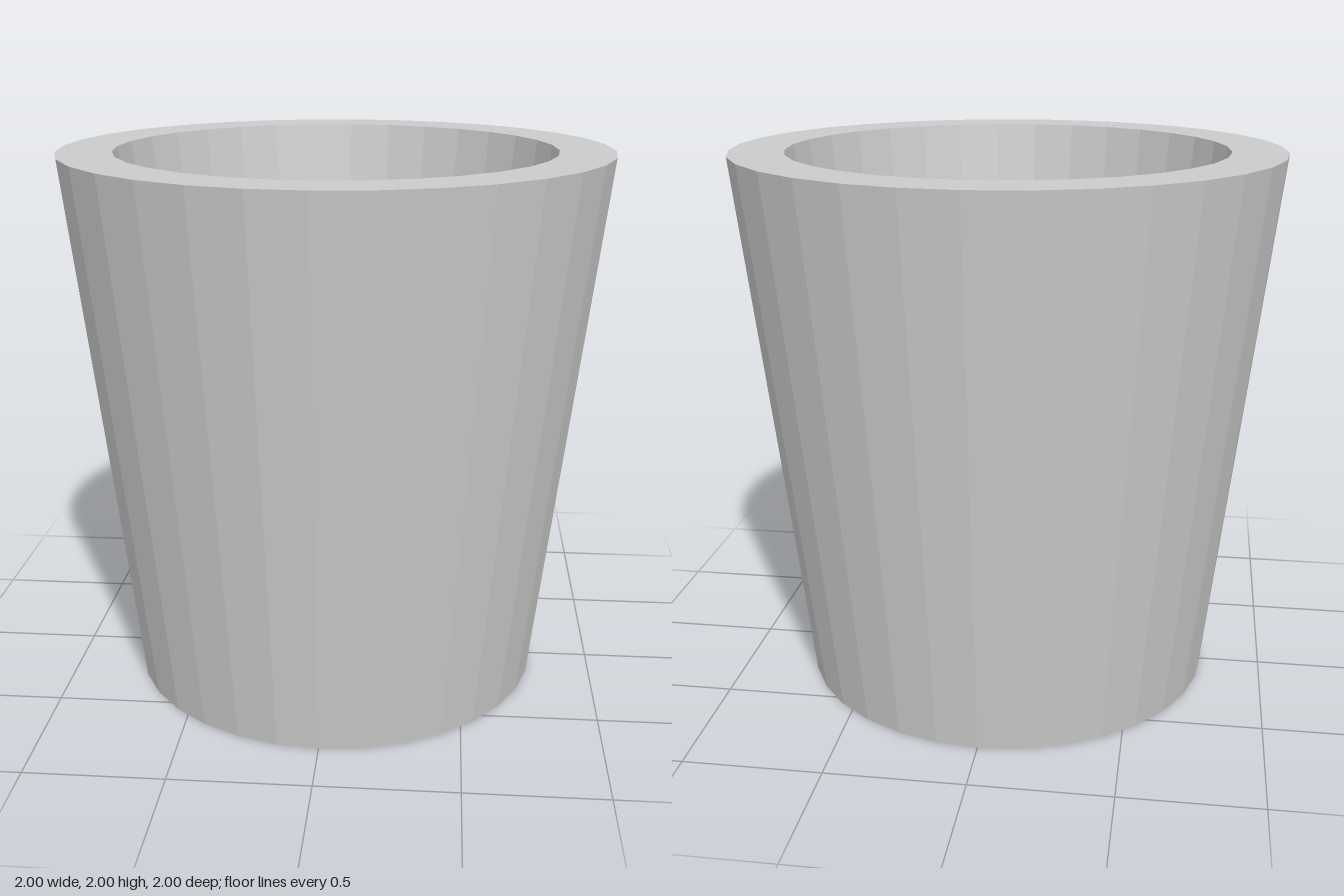
import * as THREE from 'three';

const SIDES = 32;

export function createModel() {
  const group = new THREE.Group();
  const material = new THREE.MeshStandardMaterial({ color: 0xcccccc, flatShading: true });

  // Turn a profile of [radius, height] points around the y axis
  const turned = (name, points) => {
    const profile = points.map(([r, y]) => new THREE.Vector2(r, y));
    const mesh = new THREE.Mesh(new THREE.LatheGeometry(profile, SIDES), material);
    mesh.name = name;
    group.add(mesh);
  };

  // Base disc and tapering outside wall
  turned('outerWall', [[0, 0], [0.77, 0], [1, 2]]);
  // Flat ring around the opening
  turned('rim', [[1, 2], [0.8, 2]]);
  // Hollow: upper wall, curved narrowing, steep lower wall and flat floor
  turned('innerWall', [[0.8, 2], [0.755, 1.62], [0.7, 1.33], [0.64, 1.08], [0.585, 0.9], [0.525, 0.4]]);
  turned('floor', [[0.525, 0.4], [0, 0.4]]);

  return group;
}
